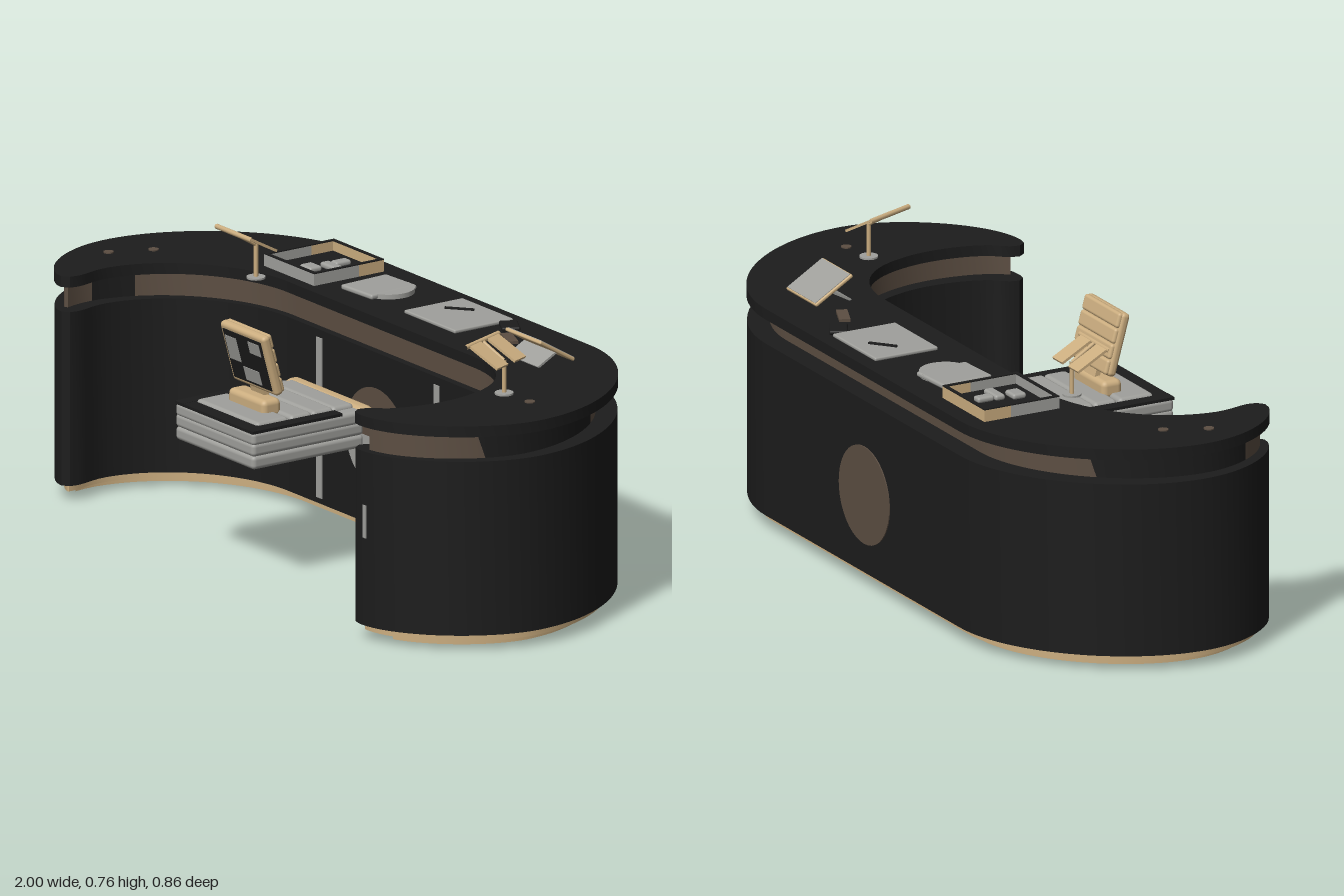
import * as THREE from 'three';
import { toCreasedNormals } from 'three/addons/utils/BufferGeometryUtils.js';
import { RoundedBoxGeometry } from 'three/addons/geometries/RoundedBoxGeometry.js';

const mat = (name, color) => {
  const m = new THREE.MeshStandardMaterial({ color });
  m.name = name;
  return m;
};

function add(parent, name, geometry, material, x = 0, y = 0, z = 0) {
  const m = new THREE.Mesh(geometry, material);
  m.name = name;
  m.position.set(x, y, z);
  parent.add(m);
  return m;
}
const box = (w, h, d) => new THREE.BoxGeometry(w, h, d);
const soft = (w, h, d, r) => new RoundedBoxGeometry(w, h, d, 3, r);
const disc = (r, h, n = 32) => new THREE.CylinderGeometry(r, r, h, n);
function rod(a, b, r) {
  const path = new THREE.LineCurve3(new THREE.Vector3(...a), new THREE.Vector3(...b));
  return new THREE.TubeGeometry(path, 1, r, 10);
}

// Plan of the C-shaped desk, in x and z
function deskPlan() {
  const p = new THREE.Path();
  p.moveTo(-0.52, -0.43);
  p.lineTo(0.52, -0.43);
  p.bezierCurveTo(0.765, -0.43, 1, -0.175, 1, 0.07);
  p.bezierCurveTo(1, 0.235, 0.83, 0.43, 0.68, 0.43);
  p.bezierCurveTo(0.62, 0.43, 0.63, 0.38, 0.67, 0.35);
  p.bezierCurveTo(0.71, 0.3, 0.73, 0.17, 0.7, 0.08);
  p.bezierCurveTo(0.67, -0.04, 0.57, -0.12, 0.43, -0.12);
  p.lineTo(-0.43, -0.12);
  p.bezierCurveTo(-0.62, -0.11, -0.78, 0.03, -0.79, 0.2);
  p.bezierCurveTo(-0.79, 0.25, -0.77, 0.28, -0.775, 0.3);
  p.bezierCurveTo(-0.775, 0.34, -0.8, 0.34, -0.82, 0.335);
  p.bezierCurveTo(-0.91, 0.305, -1, 0.18, -1, 0.05);
  p.bezierCurveTo(-1, -0.19, -0.765, -0.43, -0.52, -0.43);
  return p.getSpacedPoints(220).slice(0, -1);
}

// Slab of the plan, moved inwards by inset, between two heights
function slab(plan, inset, y0, y1) {
  const n = plan.length;
  const pts = plan.map((p, i) => {
    const t = plan[(i + 1) % n].clone().sub(plan[(i + n - 1) % n]).normalize();
    return new THREE.Vector2(p.x - t.y * inset, p.y + t.x * inset);
  }).filter((q) => plan.every((p) => p.distanceTo(q) > inset * 0.95 - 1e-6));
  const shape = new THREE.Shape(pts.map((p) => new THREE.Vector2(p.x, -p.y)));
  const g = new THREE.ExtrudeGeometry(shape, { depth: y1 - y0, bevelEnabled: false });
  g.rotateX(-Math.PI / 2).translate(0, y0, 0);
  return toCreasedNormals(g, 0.6);
}

// Twin-panel stand: post, arm, rail and two sloping panels
function makeStand(tan, grey) {
  const s = new THREE.Group();
  s.name = 'cardStand';
  add(s, 'standFoot', disc(0.025, 0.005, 20), grey, 0, 0.0025, -0.07);
  add(s, 'standPost', rod([0, 0, -0.07], [0, 0.095, -0.07], 0.006), tan);
  add(s, 'standArm', rod([0, 0.092, -0.07], [0, 0.135, 0], 0.005), tan);
  add(s, 'standRail', rod([-0.08, 0.135, 0], [0.08, 0.135, 0], 0.007), tan);
  for (const x of [-0.045, 0.04]) {
    const p = add(s, 'standPanel', box(0.052, 0.007, 0.105), tan, x, 0.112, -0.045);
    p.rotation.x = -0.5;
  }
  return s;
}

export function createModel() {
  const black = mat('black', 0x1c1c1c);
  const tan = mat('tan', 0xccae80);
  const grey = mat('grey', 0xa0a09c);
  const brown = mat('brown', 0x5c4e42);
  const model = new THREE.Group();
  model.name = 'receptionDesk';
  const plan = deskPlan();

  // Desk layers from floor to worktop
  const desk = new THREE.Group();
  desk.name = 'desk';
  model.add(desk);
  add(desk, 'plinthCore', slab(plan, 0.075, 0, 0.02), black);
  add(desk, 'lowerPlinth', slab(plan, 0.06, 0.003, 0.022), tan);
  add(desk, 'upperPlinth', slab(plan, 0.027, 0.022, 0.044), tan);
  add(desk, 'body', slab(plan, 0.002, 0.044, 0.522), black);
  add(desk, 'worktop', slab(plan, 0, 0.59, 0.62), black);

  // Recessed band, set forward: brown, but black around the middle of the outer ends
  const band = slab(plan, 0.043, 0.52, 0.592).translate(0, 0, 0.02);
  const pos = band.attributes.position;
  band.clearGroups();
  for (let i = 0; i < pos.count; i += 3) {
    const x = (pos.getX(i) + pos.getX(i + 1) + pos.getX(i + 2)) / 3;
    const z = (pos.getZ(i) + pos.getZ(i + 1) + pos.getZ(i + 2)) / 3;
    band.addGroup(i, 3, Math.abs(x) > 0.8 && Math.abs(z) < 0.21 ? 1 : 0);
  }
  add(desk, 'recessBand', band, [brown, black]);

  // Discs and upright strips on the straight walls
  add(desk, 'backDisc', disc(0.135, 0.004, 40), brown, -0.01, 0.26, -0.429).rotation.x = Math.PI / 2;
  const half = (start) => new THREE.CircleGeometry(0.14, 24, start, Math.PI);
  add(desk, 'innerDiscLower', half(Math.PI), grey, -0.01, 0.285, -0.119);
  add(desk, 'innerDiscUpper', half(0), brown, -0.01, 0.285, -0.119);
  for (const x of [-0.27, 0.26]) add(desk, 'innerStrip', box(0.025, 0.44, 0.006), grey, x, 0.28, -0.122);
  add(desk, 'legMark', box(0.012, 0.09, 0.006), grey, 0.7, 0.33, 0.426);

  // Small inlays on the worktop
  for (const [x, z] of [[-0.9, 0.11], [-0.85, 0], [0.85, 0]])
    add(desk, 'inlay', disc(0.014, 0.004, 16), brown, x, 0.621, z);

  // Open tray with rims and small contents
  const tray = new THREE.Group();
  tray.name = 'tray';
  tray.position.set(-0.45, 0.62, -0.265);
  model.add(tray);
  add(tray, 'trayFloor', box(0.21, 0.006, 0.21), black, 0, 0.003, 0);
  for (const s of [-1, 1]) {
    add(tray, 'trayWall', box(0.226, 0.032, 0.01), s < 0 ? tan : grey, 0, 0.016, s * 0.108);
    add(tray, 'trayRim', box(0.226, 0.003, 0.01), black, 0, 0.0335, s * 0.108);
    add(tray, 'traySideFront', box(0.01, 0.032, 0.136), grey, s * 0.108, 0.016, 0.035);
    add(tray, 'traySideRear', box(0.01, 0.032, 0.07), tan, s * 0.108, 0.016, -0.068);
    add(tray, 'traySideRim', box(0.01, 0.003, 0.206), black, s * 0.108, 0.0335, 0);
  }
  for (const [x, z, w, d] of [[0.01, 0.05, 0.05, 0.04], [0.035, 0, 0.07, 0.03], [0.02, -0.04, 0.03, 0.05]])
    add(tray, 'trayItem', soft(w, 0.016, d, 0.007), grey, x, 0.014, z);

  // Round-ended pad, writing sheet with pen, small items
  add(model, 'pad', soft(0.13, 0.014, 0.155, 0.006), grey, -0.212, 0.627, -0.272).rotation.y = 0.06;
  add(model, 'padEnd', disc(0.07, 0.013, 28), grey, -0.18, 0.6265, -0.28);
  add(model, 'sheet', soft(0.23, 0.01, 0.19, 0.004), grey, 0.118, 0.625, -0.294);
  add(model, 'pen', box(0.08, 0.005, 0.009), black, 0.085, 0.632, -0.32).rotation.y = 0.7;
  add(model, 'penHolder', soft(0.07, 0.012, 0.05, 0.005), black, 0.27, 0.625, -0.35).rotation.y = -0.5;
  add(model, 'leaf', box(0.08, 0.008, 0.03), brown, 0.36, 0.624, -0.285).rotation.y = -0.4;

  // Tilted screen leaning on a sloping prop
  const screen = new THREE.Group();
  screen.name = 'screen';
  screen.position.set(0.54, 0.658, -0.255);
  screen.rotation.x = -0.54;
  model.add(screen);
  add(screen, 'screenBack', soft(0.16, 0.01, 0.13, 0.004), tan);
  add(screen, 'screenFace', box(0.15, 0.003, 0.122), grey, 0, 0.005, 0);
  add(model, 'screenProp', box(0.14, 0.006, 0.075), grey, 0.54, 0.638, -0.232).rotation.x = 0.5;

  // Two panel stands
  const stand1 = makeStand(tan, grey);
  stand1.position.set(-0.485, 0.62, 0);
  const stand2 = makeStand(tan, grey);
  stand2.position.set(0.685, 0.62, 0.037);
  stand2.rotation.y = -1.2;
  model.add(stand1, stand2);

  // Chair facing the desk
  const chair = new THREE.Group();
  chair.name = 'chair';
  model.add(chair);
  for (const y of [0.355, 0.39, 0.42])
    add(chair, 'seatLayer', soft(0.355, 0.038, 0.36, 0.012), grey, -0.005, y, 0.23);
  for (const s of [-1, 1])
    add(chair, 'seatSideTrim', box(0.036, 0.008, 0.29), black, -0.005 + s * 0.158, 0.439, 0.265);
  add(chair, 'seatRearTrim', box(0.35, 0.008, 0.045), black, -0.005, 0.4385, 0.387);
  for (const z of [0.09, 0.155, 0.225, 0.3, 0.335])
    add(chair, 'seatCushion', soft(0.28, 0.03, 0.07, 0.012), grey, -0.005, 0.435, z);
  add(chair, 'seatFrontRoll', soft(0.355, 0.05, 0.055, 0.022), tan, -0.005, 0.42, 0.038);

  // Bracket below the backrest
  add(chair, 'bracket', soft(0.165, 0.05, 0.06, 0.015), tan, -0.01, 0.458, 0.275);

  // Leaning backrest with padded ribs towards the desk
  const back = new THREE.Group();
  back.name = 'backrest';
  back.position.set(-0.005, 0.583, 0.288);
  back.rotation.x = 0.27;
  chair.add(back);
  add(back, 'backShell', soft(0.2, 0.175, 0.026, 0.011), tan);
  add(back, 'backPanel', box(0.17, 0.145, 0.006), black, 0, 0, 0.012);
  for (const [x, y, w, h] of [[-0.055, 0.02, 0.05, 0.07], [0.01, -0.045, 0.07, 0.04], [0.05, 0.045, 0.05, 0.035]])
    add(back, 'backPatch', box(w, h, 0.004), grey, x, y, 0.0145);
  for (let i = 0; i < 4; i++)
    add(back, 'backRib', soft(0.19, 0.042, 0.018, 0.008), tan, 0, -0.064 + i * 0.043, -0.012);
  add(back, 'backStem', box(0.06, 0.06, 0.015), tan, 0, -0.095, 0);

  return model;
}
